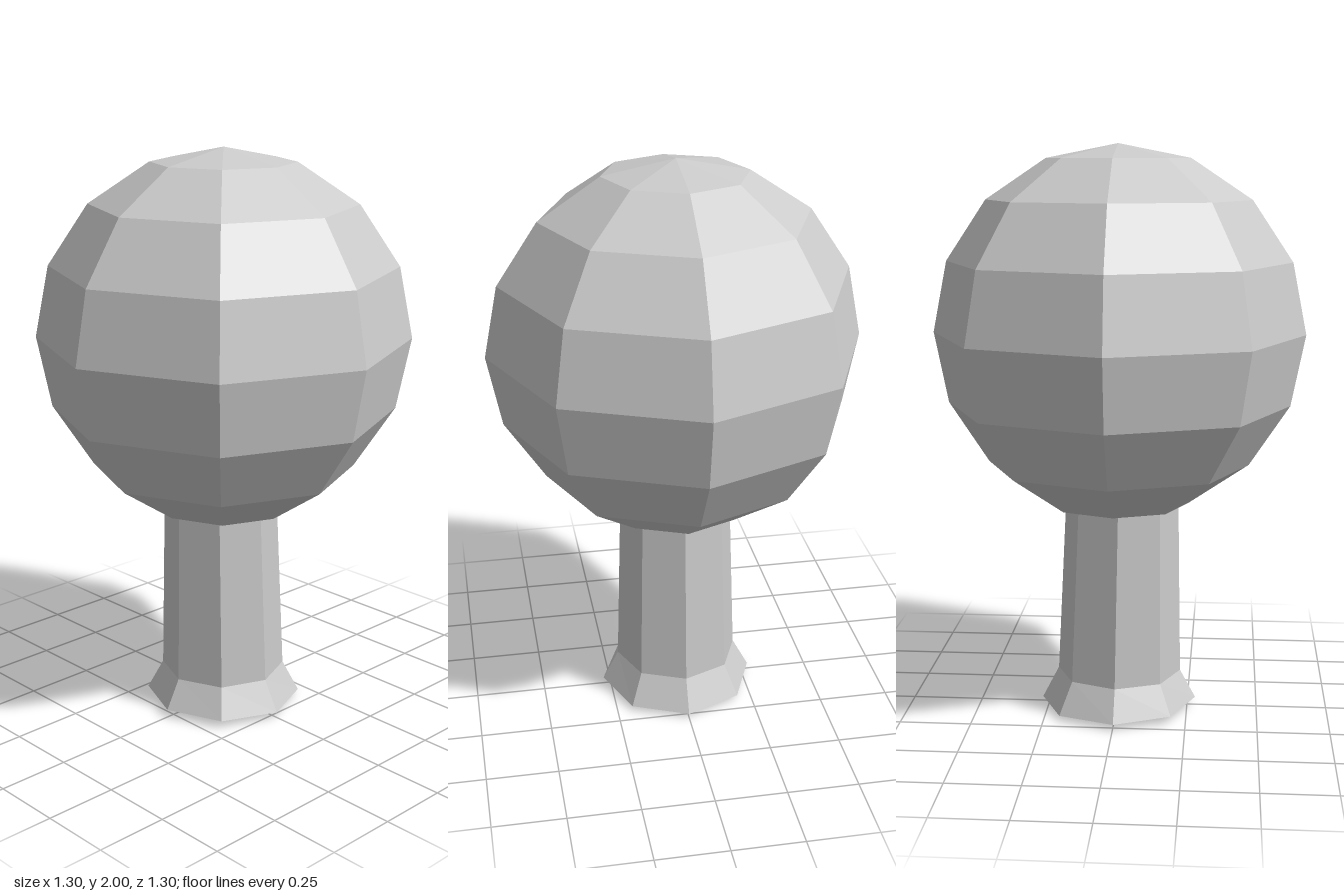
import * as THREE from 'three';

const SIDES = 8;
const material = new THREE.MeshStandardMaterial({ color: 0xcccccc, flatShading: true });

// Faceted eight-sided turning, profile listed from bottom to top as [radius, y]
function turned(name, profile, bend) {
  const points = profile.map(([r, y]) => new THREE.Vector2(r, y));
  const geometry = new THREE.LatheGeometry(points, SIDES);
  if (bend) {
    const pos = geometry.attributes.position;
    const v = new THREE.Vector3();
    for (let i = 0; i < pos.count; i++) {
      bend(v.fromBufferAttribute(pos, i));
      pos.setXYZ(i, v.x, v.y, v.z);
    }
  }
  const flat = geometry.toNonIndexed();
  flat.computeVertexNormals();
  const mesh = new THREE.Mesh(flat, material);
  mesh.name = name;
  return mesh;
}

export function createModel() {
  const group = new THREE.Group();
  group.name = 'tree';

  // Crown: low-poly ball whose underside closes in on the trunk
  const R = 0.65, centreY = 1.35;
  const crownProfile = [[0.1, 0.72]];
  for (let i = 1; i <= 8; i++) {
    const a = (i / 8) * Math.PI;
    crownProfile.push([i === 8 ? 0 : R * Math.sin(a), centreY - R * Math.cos(a)]);
  }
  group.add(turned('crown', crownProfile));

  // Trunk: tapered, flared at the foot, slightly domed base, leaning a touch forward
  const trunkProfile = [[0, 0], [0.277, 0.022], [0.22, 0.13], [0.2, 0.75]];
  group.add(turned('trunk', trunkProfile, (v) => {
    const foot = v.y < 0.1 ? 0.022 * v.z : 0;
    v.z += 0.002 + 0.016 * v.y;
    v.y += foot;
  }));

  return group;
}
